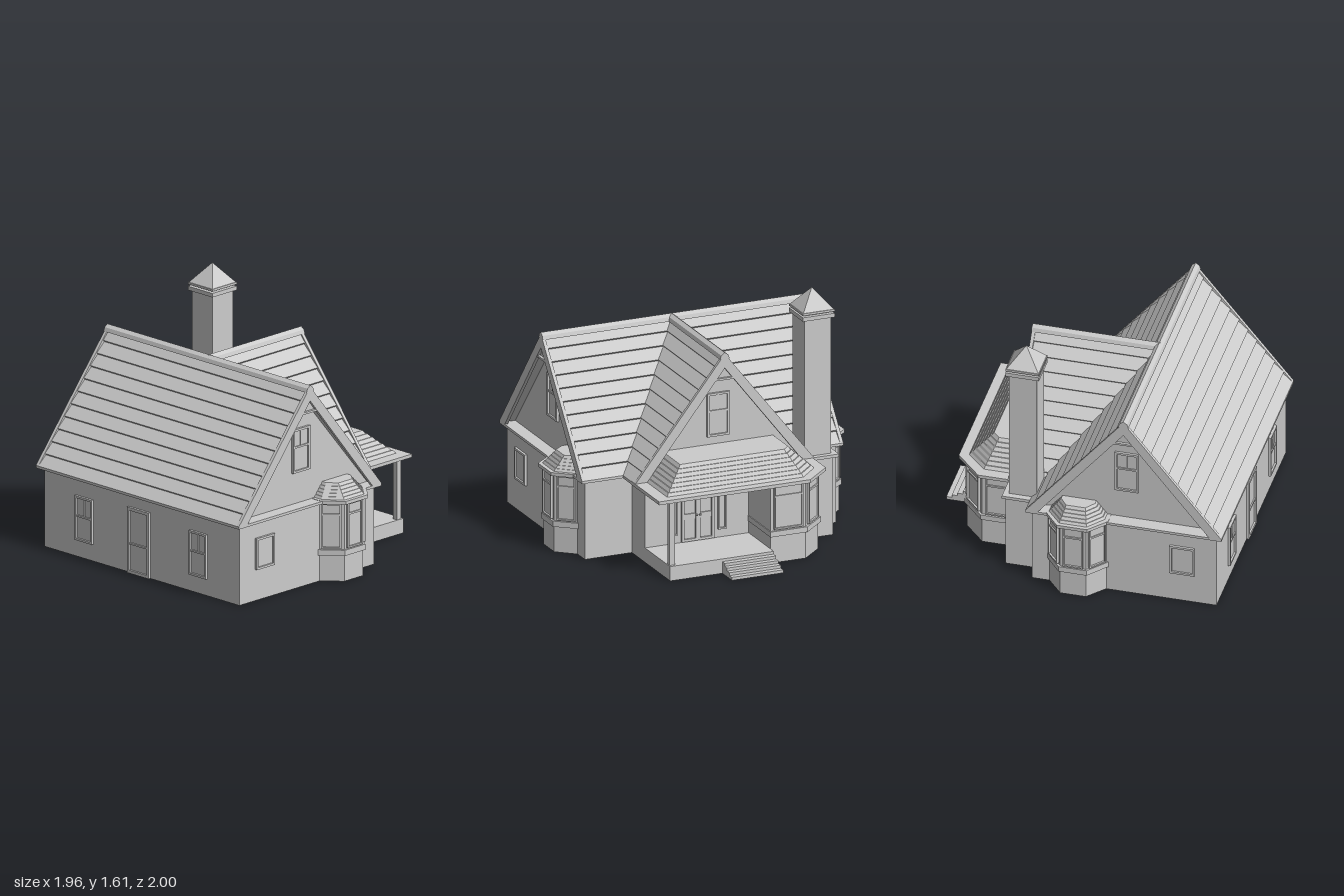
import * as THREE from 'three';

const mat = new THREE.MeshStandardMaterial({ color: 0xcccccc, side: THREE.DoubleSide, flatShading: true });
const EAVE = 0.53, RIDGE = 1.3, MAIN_X = -0.35;

function add(parent, name, geometry, x = 0, y = 0, z = 0) {
  const m = new THREE.Mesh(geometry, mat);
  m.name = name;
  m.position.set(x, y, z);
  parent.add(m);
  return m;
}

// Box given by its limits
function box(parent, name, x0, x1, y0, y1, z0, z1) {
  return add(parent, name, new THREE.BoxGeometry(x1 - x0, y1 - y0, z1 - z0),
    (x0 + x1) / 2, (y0 + y1) / 2, (z0 + z1) / 2);
}

// Solid between two convex plan polygons [x, z] at two heights
function loft(parent, name, a, y0, b, y1) {
  const n = a.length, pos = [];
  let area = 0;
  a.forEach((p, i) => { const q = a[(i + 1) % n]; area += p[0] * q[1] - q[0] * p[1]; });
  if (area > 0) { a = [...a].reverse(); b = [...b].reverse(); }
  const A = i => [a[i % n][0], y0, a[i % n][1]], B = i => [b[i % n][0], y1, b[i % n][1]];
  const tri = (...pts) => pts.forEach(p => pos.push(...p));
  for (let i = 0; i < n; i++) {
    tri(A(i), A(i + 1), B(i + 1));
    tri(A(i), B(i + 1), B(i));
    if (i > 0 && i < n - 1) { tri(B(0), B(i), B(i + 1)); tri(A(0), A(i + 1), A(i)); }
  }
  const g = new THREE.BufferGeometry();
  g.setAttribute('position', new THREE.Float32BufferAttribute(pos, 3));
  g.computeVertexNormals();
  return add(parent, name, g);
}
const slab = (parent, name, poly, y0, y1) => loft(parent, name, poly, y0, poly, y1);

// Hipped roof made of overlapping shingle courses
function courses(parent, name, base, top, y0, y1, n) {
  const mix = t => base.map((p, i) => [p[0] + (top[i][0] - p[0]) * t, p[1] + (top[i][1] - p[1]) * t]);
  for (let i = 0; i < n; i++)
    loft(parent, name, mix(i / n), y0 + (y1 - y0) * i / n, mix((i + 0.7) / n), y0 + (y1 - y0) * (i + 1) / n);
}

function extrude(pts, depth, hole) {
  const s = new THREE.Shape(pts.map(p => new THREE.Vector2(...p)));
  if (hole) s.holes.push(new THREE.Path(hole.map(p => new THREE.Vector2(...p))));
  return new THREE.ExtrudeGeometry(s, { depth, bevelEnabled: false });
}
const rect = (w, h) => [[-w / 2, -h / 2], [w / 2, -h / 2], [w / 2, h / 2], [-w / 2, h / 2]];

// Framed window or panelled door, facing +z before turning
function opening(parent, name, w, h, x, y, z, turn, { rail = null, mullion = false, f = 0.014 } = {}) {
  const g = new THREE.Group();
  g.name = name;
  add(g, 'frame', extrude(rect(w, h), 0.016, rect(w - 2 * f, h - 2 * f)));
  box(g, 'pane', -w / 2 + f, w / 2 - f, -h / 2 + f, h / 2 - f, -0.002, 0.004);
  if (rail !== null) box(g, 'rail', -w / 2 + f, w / 2 - f, rail * h - 0.006, rail * h + 0.006, 0, 0.012);
  if (mullion) box(g, 'mullion', -0.004, 0.004, (rail ?? -0.4) * h, h / 2 - f, 0, 0.01);
  g.position.set(x, y, z);
  g.rotation.y = turn;
  parent.add(g);
  return g;
}

// Window centred on a wall running from plan point p to q, seen from outside left to right
function wallWindow(parent, p, q, margin, y0, y1) {
  const dx = q[0] - p[0], dz = q[1] - p[1], len = Math.hypot(dx, dz);
  opening(parent, 'bayWindow', len - 2 * margin, y1 - y0, (p[0] + q[0]) / 2, (y0 + y1) / 2,
    (p[1] + q[1]) / 2, Math.atan2(-dz, dx), { rail: 0.25, f: 0.01 });
}

// Shingled gable roof along z, with ridge cap; half width hw, from z0 to z1
function gableRoof(name, hw, z0, z1) {
  const g = new THREE.Group(), N = 11, rise = RIDGE - 0.01 - EAVE, half = [];
  g.name = name;
  for (let i = 0; i < N; i++) {
    half.push([hw * (1 - i / N), EAVE + rise * i / N]);
    half.push([hw * (1 - (i + 1) / N) - 0.008, EAVE + rise * (i + 1) / N - 0.01]);
  }
  half[half.length - 1][0] = 0.005;
  const left = half.map(p => [-p[0], p[1]]).reverse();
  add(g, 'shingles', extrude([...half, ...left, [-hw + 0.04, EAVE], [0, RIDGE - 0.07], [hw - 0.04, EAVE]],
    z1 - z0), 0, 0, z0);
  add(g, 'ridgeCap', extrude([[-0.033, 1.27], [0.033, 1.27], [0.024, 1.295], [0, 1.312], [-0.024, 1.295]],
    z1 - z0 + 0.01), 0, 0, z0 - 0.005);
  return g;
}

// Gable wall, bargeboards, apex panel and window, facing +z; front edge at 0, wall set back
function gableEnd(hw, setback) {
  const g = new THREE.Group();
  g.name = 'gableEnd';
  add(g, 'gableWall', extrude([[-hw + 0.03, 0.52], [hw - 0.03, 0.52], [0, 1.25]], 0.03), 0, 0, -setback - 0.03);
  add(g, 'bargeboard', extrude([[hw, 0.53], [0, 1.303], [-hw, 0.53], [-hw + 0.08, 0.53],
    [0, 1.21], [hw - 0.08, 0.53]], 0.022), 0, 0, -0.022);
  add(g, 'apexPanel', extrude([[-0.08, 1.13], [0.08, 1.13], [0, 1.235]], 0.022,
    [[-0.052, 1.143], [0.052, 1.143], [0, 1.214]]), 0, 0, -0.025);
  add(g, 'apexInset', extrude([[-0.055, 1.14], [0.055, 1.14], [0, 1.22]], 0.01), 0, 0, -0.03);
  opening(g, 'gableWindow', 0.15, 0.285, 0, 0.875, -setback, 0, { rail: 0.08, mullion: true });
  return g;
}

export function createModel() {
  const house = new THREE.Group();
  house.name = 'house';

  // Walls
  box(house, 'mainWalls', -0.94, 0.245, 0, 0.52, -0.855, 0.855);
  box(house, 'wingWalls', 0.2, 0.445, 0, 0.52, -0.55, 0.535);
  box(house, 'chimneyBase', 0.2, 0.445, 0, 0.52, -0.745, -0.5);

  // Eave boards
  box(house, 'mainEave', -0.98, 0.28, 0.513, EAVE, -0.89, 0.89);
  box(house, 'wingEave', 0.2, 0.46, 0.512, 0.529, -0.61, 0.61);
  box(house, 'chimneyEave', 0.2, 0.46, 0.511, 0.531, -0.78, -0.5);

  // Roofs and gables
  const mainRoof = gableRoof('mainRoof', 0.63, -0.885, 0.885);
  mainRoof.position.x = MAIN_X;
  const wingRoof = gableRoof('wingRoof', 0.61, MAIN_X, 0.46);
  wingRoof.rotation.y = Math.PI / 2;
  house.add(mainRoof, wingRoof);
  for (const s of [1, -1]) {
    const end = gableEnd(0.63, 0.09);
    end.position.set(MAIN_X, 0, s * 0.89);
    end.rotation.y = s > 0 ? 0 : Math.PI;
    house.add(end);
  }
  const wingEnd = gableEnd(0.61, 0.11);
  wingEnd.position.x = 0.465;
  wingEnd.rotation.y = Math.PI / 2;
  house.add(wingEnd);

  // Gable-side bays and small windows, one on each end
  for (const s of [1, -1]) {
    const m = pts => pts.map(([x, z]) => [x, s * z]);
    const bay = new THREE.Group();
    bay.name = 'endBay';
    const plan = m([[-0.236, 0.85], [-0.13, 0.97], [0.035, 0.97], [0.138, 0.85]]);
    slab(bay, 'bayBody', plan, 0, 0.52);
    slab(bay, 'baySill', m([[-0.25, 0.85], [-0.137, 0.983], [0.042, 0.983], [0.152, 0.85]]), 0.17, 0.207);
    slab(bay, 'bayEave', m([[-0.25, 0.8], [-0.25, 0.88], [-0.145, 1], [0.05, 1], [0.15, 0.88], [0.15, 0.8]]), 0.51, 0.532);
    courses(bay, 'bayRoof',
      m([[-0.225, 0.79], [-0.225, 0.865], [-0.135, 0.975], [0.04, 0.975], [0.135, 0.865], [0.135, 0.79]]),
      m([[-0.15, 0.79], [-0.15, 0.83], [-0.105, 0.89], [0.015, 0.89], [0.06, 0.83], [0.06, 0.79]]), 0.53, 0.62, 5);
    for (let i = 0; i < 3; i++) {
      const [p, q] = s > 0 ? [plan[i], plan[i + 1]] : [plan[i + 1], plan[i]];
      wallWindow(bay, p, q, 0.018, 0.215, 0.51);
    }
    house.add(bay);
    opening(house, 'smallWindow', 0.16, 0.205, -0.72, 0.305, s * 0.855, s > 0 ? 0 : Math.PI);
  }

  // Long side: two windows and a door
  for (const z of [-0.5, 0.5])
    opening(house, 'sideWindow', 0.15, 0.29, -0.94, 0.255, z, -Math.PI / 2, { rail: 0.05, mullion: true });
  opening(house, 'sideDoor', 0.19, 0.43, -0.94, 0.215, -0.02, -Math.PI / 2, { rail: -0.05, f: 0.02 });

  // Corner bay beside the porch
  const corner = [[0.43, -0.17], [0.78, -0.17], [0.78, -0.41], [0.645, -0.555], [0.43, -0.555]];
  slab(house, 'cornerBay', corner, 0, 0.52);
  slab(house, 'cornerBaySill',
    [[0.43, -0.165], [0.793, -0.165], [0.793, -0.416], [0.651, -0.57], [0.43, -0.57]], 0.175, 0.21);
  for (let i = 1; i < 4; i++) wallWindow(house, corner[i], corner[i + 1], 0.022, 0.22, 0.508);

  // Porch floor, post and steps
  box(house, 'porchFloor', 0.43, 0.83, 0, 0.095, -0.17, 0.535);
  box(house, 'porchPost', 0.775, 0.81, 0.09, 0.52, 0.495, 0.53);
  for (let i = 0; i < 4; i++)
    box(house, 'step', 0.8, 0.868 + i * 0.036, 0, 0.077 - i * 0.019, -0.17, 0.18);

  // Porch roof
  slab(house, 'porchEave', [[0.4, 0.61], [0.83, 0.61], [0.83, -0.42], [0.66, -0.6], [0.4, -0.6]], 0.51, 0.532);
  courses(house, 'porchRoof',
    [[0.33, 0.53], [0.77, 0.53], [0.77, -0.4], [0.64, -0.53], [0.33, -0.53]],
    [[0.33, 0.37], [0.62, 0.37], [0.62, -0.33], [0.58, -0.37], [0.33, -0.37]], 0.53, 0.68, 7);

  // Front double door with sidelights
  for (const z of [0.235, 0.125]) {
    const door = opening(house, 'frontDoor', 0.11, 0.4, 0.445, 0.3, z, Math.PI / 2, { f: 0.016 });
    box(door, 'lockRail', -0.045, 0.045, -0.055, -0.02, 0, 0.012);
    const k = z > 0.2 ? 1 : -1;
    add(door, 'knob', new THREE.SphereGeometry(0.008, 8, 6), k * 0.043, -0.03, 0.022);
  }
  for (const z of [0.345, 0.012])
    opening(house, 'sidelight', 0.056, 0.35, 0.445, 0.325, z, Math.PI / 2, { f: 0.01 });

  // Chimney and cap
  const cx = 0.335, cz = -0.65;
  const stack = (name, r, y0, y1) => box(house, name, cx - r, cx + r, y0, y1, cz - r, cz + r);
  stack('chimney', 0.09, 0, 1.43);
  stack('chimneyCollar', 0.108, 1.43, 1.456);
  stack('chimneyNeck', 0.08, 1.45, 1.475);
  stack('chimneyCapSlab', 0.108, 1.468, 1.482);
  add(house, 'chimneyCap', new THREE.ConeGeometry(0.105 * Math.SQRT2, 0.13, 4), cx, 1.545, cz).rotation.y = Math.PI / 4;

  return house;
}
